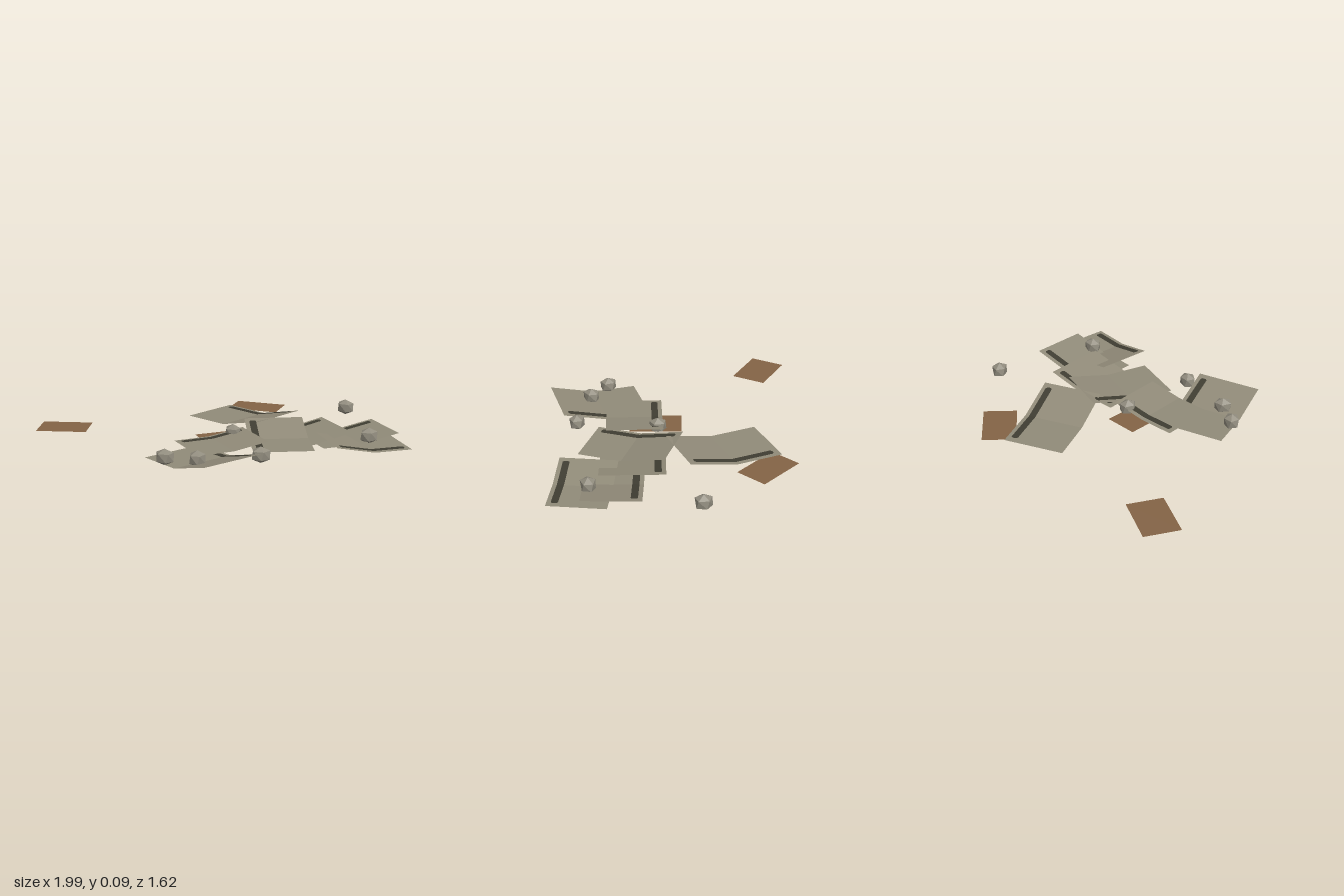
import * as THREE from 'three';

const mat = (name, color, side = THREE.DoubleSide) => {
  const m = new THREE.MeshStandardMaterial({ color, side, flatShading: true });
  m.name = name;
  return m;
};

export function createModel() {
  const group = new THREE.Group();
  const panelMat = mat('weathered grey', 0x918b79);
  const stripMat = mat('dark strip', 0x3f3d32);
  const boardMat = mat('brown board', 0x846446);
  const rockMat = mat('rubble grey', 0x928d7f, THREE.FrontSide);

  const add = (parent, name, geometry, material) => {
    const mesh = new THREE.Mesh(geometry, material);
    mesh.name = name;
    parent.add(mesh);
    return mesh;
  };

  // Lift the +x half of a flat sheet so that it creases across the middle
  const bend = (geo, length, rise) => {
    const p = geo.attributes.position;
    for (let i = 0; i < p.count; i++) {
      p.setY(i, p.getY(i) + rise * Math.max(0, p.getX(i)) / (length / 2));
    }
    geo.computeVertexNormals();
    return geo;
  };

  const flat = (l, w, segments = 1) => new THREE.PlaneGeometry(l, w, segments, 1).rotateX(-Math.PI / 2);

  // Narrow strip with clipped ends
  const stripShape = (length) => {
    const geo = flat(length, 0.04, 4);
    const p = geo.attributes.position;
    const stops = [-0.5, -0.48, 0, 0.48, 0.5];
    for (let i = 0; i < p.count; i++) {
      const k = i % 5;
      p.setX(i, stops[k] * length);
      if (k === 0 || k === 4) p.setZ(i, p.getZ(i) * 0.5);
    }
    return geo;
  };

  // Creased panels: centre x, z, length, width, direction of raised end, height, rise
  const panels = [
    [-0.15, -0.24, 0.58, 0.365, 1, 0, 0.01, 0.068],
    [0.31, 0.58, 0.535, 0.39, 0.99, 0.12, 0.01, 0.068],
    [0.74, -0.29, 0.45, 0.34, -0.49, 0.87, 0.01, 0.045],
    [0.58, -0.35, 0.48, 0.34, 0.41, -0.91, 0.014, 0.04],
    [0.38, -0.14, 0.5, 0.38, 0.38, -0.925, 0.017, 0.045],
    [0.34, -0.01, 0.53, 0.345, -0.75, -0.66, 0.024, 0.055],
    [0.19, 0.31, 0.43, 0.34, 0.36, -0.93, 0.032, 0.03],
  ];
  for (const [x, z, l, w, dx, dz, y, rise] of panels) {
    const panel = new THREE.Group();
    panel.name = 'creasedPanel';
    add(panel, 'sheet', bend(flat(l, w, 2), l, rise), panelMat);
    // The strip shows on both faces
    for (const side of [1, -1]) {
      const strip = add(panel, 'edgeStrip', bend(stripShape(l * 0.87), l, rise), stripMat);
      strip.position.set(0, 0.003 * side, -w / 2 + 0.045);
    }
    panel.position.set(x, y, z);
    panel.rotation.y = Math.atan2(-dz, dx);
    group.add(panel);
  }

  // Flat boards: centre x, z, length, width, long direction
  const boards = [
    [-0.3, -0.52, 0.315, 0.2, 0.91, -0.41],
    [-0.81, 0.63, 0.3, 0.215, 0.78, -0.62],
    [0.09, 0.21, 0.31, 0.2, 0.91, 0.41],
  ];
  boards.forEach(([x, z, l, w, dx, dz], i) => {
    const board = add(group, 'board', flat(l, w), boardMat);
    board.position.set(x, i === 2 ? 0.016 : 0.006, z);
    board.rotation.y = Math.atan2(-dz, dx);
  });

  // Five-sided rubble lumps with a twisted lower ring
  const rocks = [[0.22, -0.77], [0.73, -0.35], [0.11, 0.13], [0.54, 0.36], [0.34, 0.65], [0.19, 0.75]];
  rocks.forEach(([x, z], i) => {
    const geo = new THREE.SphereGeometry(0.052, 5, 3);
    const p = geo.attributes.position;
    for (let k = 0; k < p.count; k++) {
      if (p.getY(k) > 0) continue;
      const a = 0.3, px = p.getX(k), pz = p.getZ(k);
      p.setX(k, px * Math.cos(a) - pz * Math.sin(a));
      p.setZ(k, px * Math.sin(a) + pz * Math.cos(a));
    }
    geo.computeVertexNormals();
    const rock = add(group, 'rubble', geo, rockMat);
    rock.position.set(x, 0.05, z);
    rock.rotation.y = i * 1.3;
    rock.scale.set(1.15, 0.9, 1);
  });

  return group;
}
